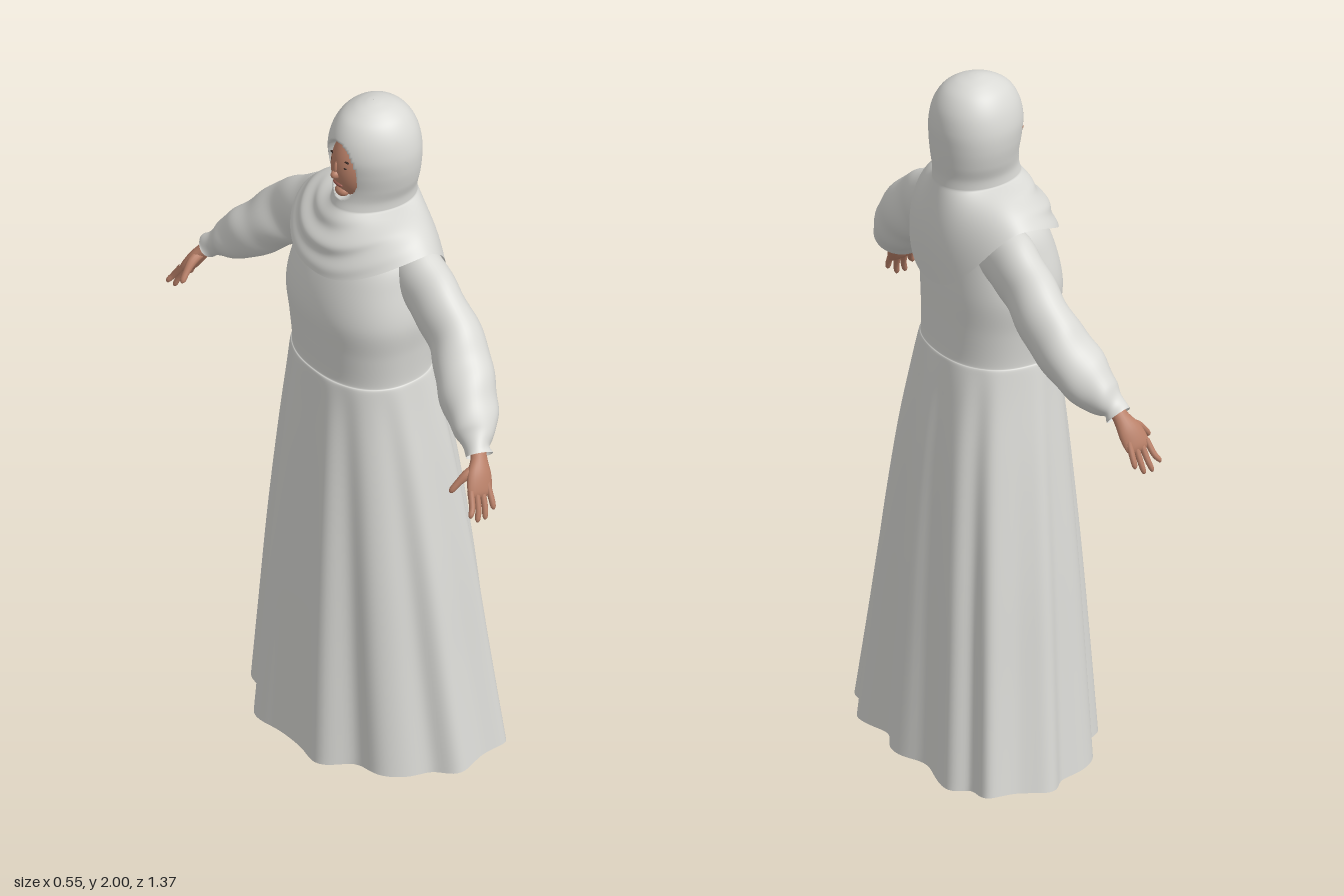
import * as THREE from 'three';

const mat = (name, color, side = THREE.FrontSide) => {
  const m = new THREE.MeshStandardMaterial({ color, side });
  m.name = name;
  return m;
};

// Smoothly interpolates a table of rows, t from 0 to 1
function sample(rows, t) {
  const f = t * (rows.length - 1), i = Math.min(Math.floor(f), rows.length - 2), u = f - i;
  const row = (k) => rows[THREE.MathUtils.clamp(k, 0, rows.length - 1)];
  const [a, b, c, d] = [row(i - 1), row(i), row(i + 1), row(i + 2)];
  return b.map((_, k) => {
    const m0 = (c[k] - a[k]) / 2, m1 = (d[k] - b[k]) / 2;
    return b[k] + m0 * u + (3 * (c[k] - b[k]) - 2 * m0 - m1) * u * u + (2 * (b[k] - c[k]) + m0 + m1) * u ** 3;
  });
}

// Closed rings stacked along t; point(a, t) returns [x, y, z]
function loft(nu, nv, point) {
  const pos = [], index = [];
  for (let j = 0; j <= nv; j++)
    for (let i = 0; i < nu; i++) pos.push(...point((i / nu) * Math.PI * 2, j / nv));
  for (let j = 0; j < nv; j++)
    for (let i = 0; i < nu; i++) {
      const p = j * nu + i, q = j * nu + ((i + 1) % nu);
      index.push(p, p + nu, q, q, p + nu, q + nu);
    }
  const g = new THREE.BufferGeometry();
  g.setAttribute('position', new THREE.Float32BufferAttribute(pos, 3));
  g.setIndex(index);
  g.computeVertexNormals();
  return g;
}

// Limb along rows [x, y, z, radius along ref, radius across]
function limb(rows, side, ref, nu, nv, ripple = () => 1) {
  const at = (t) => {
    const r = sample(rows, t);
    return new THREE.Vector3(r[0], r[1], r[2] * side);
  };
  return loft(nu, nv, (a, t) => {
    const r = sample(rows, t), e = 0.01;
    const T = at(Math.min(1, t + e)).sub(at(Math.max(0, t - e))).normalize();
    const X = ref.clone().addScaledVector(T, -ref.dot(T)).normalize();
    const N = X.clone().cross(T), k = ripple(a, t);
    return at(t).addScaledVector(X, Math.cos(a) * Math.max(r[3], 0.0005) * k)
      .addScaledVector(N, Math.sin(a) * Math.max(r[4], 0.0005) * k).toArray();
  });
}

const pw = (v, p) => Math.sign(v) * Math.abs(v) ** p;

// Gown rows: y, front x, back x, half width
const GOWN = [
  [0.015, -0.263, 0.263, 0.39], [0.3, -0.247, 0.247, 0.35], [0.6, -0.228, 0.23, 0.31],
  [0.9, -0.205, 0.205, 0.263], [1.1, -0.187, 0.178, 0.228], [1.19, -0.179, 0.163, 0.213],
  [1.21, -0.173, 0.157, 0.208], [1.3, -0.179, 0.155, 0.215], [1.4, -0.185, 0.155, 0.226],
  [1.5, -0.165, 0.15, 0.21], [1.58, -0.13, 0.142, 0.185], [1.64, -0.07, 0.12, 0.12], [1.67, -0.03, 0.1, 0.06],
];

function gownPoint(a, t) {
  const [y, xf, xb, zh] = sample(GOWN, t);
  const low = Math.max(0, (1.2 - y) / 1.2);
  const fold = (0.018 * Math.cos(11 * a) + 0.004 * Math.cos(18 * a)) * low ** 0.7;
  const c = Math.cos(a), s = Math.sin(a);
  const x = (xf + xb) / 2 + ((xb - xf) / 2) * pw(c, 0.88) + 0.08 * low * s * s + fold * c;
  return [x, y + 0.006 * Math.cos(5 * a) * low ** 4, zh * pw(s, 0.88) + fold * s * 0.7];
}

// Headscarf rows from neck to crown: y, front x, back x, half width
const SCARF = [
  [1.7, -0.098, 0.153, 0.1], [1.73, -0.09, 0.152, 0.102], [1.77, -0.088, 0.155, 0.114],
  [1.82, -0.095, 0.158, 0.123], [1.87, -0.1, 0.158, 0.123], [1.92, -0.09, 0.148, 0.11],
  [1.96, -0.066, 0.125, 0.086], [1.985, -0.03, 0.092, 0.054], [1.997, 0.005, 0.055, 0.023], [2, 0.029, 0.031, 0.001],
];

function scarfPoint(a, t) {
  const c = Math.cos(a), s = Math.sin(a), cut = 0.35;
  const ring = ([y, xf, xb, zh]) => [(xf + xb) / 2 + ((xb - xf) / 2) * c, y, zh * s * (1 + 0.1 * c)];
  if (t < cut) {
    // Cape: long at the back, short over the shoulders
    const u = 1 - t / cut, neck = ring(SCARF[0]);
    const hem = [0.18 * c + 0.02 * s * s,
      c > 0 ? 1.42 + 0.205 * Math.abs(s) ** 2.2 : 1.53 + 0.095 * s * s, 0.242 * pw(s, 0.9)];
    const out = 0.012 * Math.sin(Math.PI * u);
    const wrap = c < 0 ? 0.006 * Math.sin(u * 15 + 2 * s) * -c * Math.sin(Math.PI * u) : 0;
    return [neck[0] + (hem[0] - neck[0]) * u + (wrap + out) * c,
      neck[1] + (hem[1] - neck[1]) * u + out * s * s, neck[2] + (hem[2] - neck[2]) * u + (wrap + out) * s];
  }
  const p = ring(sample(SCARF, (t - cut) / (1 - cut)));
  // Face opening, sunk behind the face
  const d = (p[2] / 0.06) ** 2 + ((p[1] - 1.82) / 0.092) ** 2;
  if (c < 0 && d < 1) p[0] += 0.06 * Math.min(1, (1 - d) * 3);
  return p;
}

export function createModel() {
  const model = new THREE.Group();
  model.name = 'robedWoman';
  const cloth = mat('light grey cloth', 0xd9d9d5, THREE.DoubleSide);
  const skin = mat('skin', 0xb98068);
  const dark = mat('dark brown', 0x3b2a24);
  const lip = mat('lip', 0x9c5b50);
  const add = (name, geo, material, parent = model) => {
    const m = new THREE.Mesh(geo, material);
    m.name = name;
    parent.add(m);
    return m;
  };
  const ball = (name, material, p, r, parent) => {
    const m = add(name, new THREE.SphereGeometry(1, 28, 20), material, parent);
    m.position.set(...p);
    m.scale.set(...r);
    return m;
  };

  add('gown', loft(176, 90, gownPoint), cloth);
  add('headscarf', loft(120, 110, scarfPoint), cloth);

  // Face, looking along -x
  const face = new THREE.Group();
  face.name = 'face';
  model.add(face);
  ball('faceSkin', skin, [-0.03, 1.82, 0], [0.07, 0.1, 0.065], face);
  ball('nose', skin, [-0.097, 1.808, 0], [0.016, 0.013, 0.012], face);
  ball('noseBridge', skin, [-0.094, 1.826, 0], [0.01, 0.025, 0.007], face);
  ball('chin', skin, [-0.076, 1.748, 0], [0.018, 0.016, 0.022], face);
  ball('lips', lip, [-0.09, 1.776, 0], [0.008, 0.007, 0.02], face);
  for (const s of [1, -1]) {
    ball('eye', dark, [-0.087, 1.839, s * 0.025], [0.005, 0.004, 0.01], face);
    ball('eyebrow', dark, [-0.084, 1.858, s * 0.027], [0.004, 0.003, 0.014], face);
  }

  const X = new THREE.Vector3(1, 0, 0), Z = new THREE.Vector3(0, 0, 1);
  for (const s of [1, -1]) {
    // Sleeve gathered into a cuff
    add('sleeve', limb([
      [0.04, 1.54, 0.13, 0.07, 0.09], [0.038, 1.525, 0.2, 0.07, 0.097], [0.033, 1.485, 0.28, 0.068, 0.092],
      [0.03, 1.425, 0.365, 0.072, 0.088], [0.008, 1.36, 0.435, 0.08, 0.08], [-0.02, 1.3, 0.5, 0.077, 0.072],
      [-0.045, 1.255, 0.555, 0.058, 0.054], [-0.063, 1.232, 0.588, 0.036, 0.034], [-0.07, 1.215, 0.606, 0.038, 0.034],
    ], s, X, 40, 60, (a, t) => 1 + 0.035 * t * Math.sin(a * 3 + t * 22) + 0.02 * Math.sin(t * 40 + a)), cloth);

    // Hand with spread fingers
    const hand = new THREE.Group();
    hand.name = 'hand';
    model.add(hand);
    add('palm', limb([
      [-0.062, 1.245, 0.585, 0.022, 0.019], [-0.073, 1.21, 0.61, 0.024, 0.018], [-0.088, 1.175, 0.632, 0.036, 0.018],
      [-0.1, 1.14, 0.65, 0.038, 0.014], [-0.104, 1.125, 0.657, 0.03, 0.008], [-0.105, 1.12, 0.659, 0.001, 0.001],
    ], s, X, 20, 24), skin, hand);
    const tips = [[-0.152, 1.085], [-0.129, 1.063], [-0.104, 1.062], [-0.077, 1.083]];
    tips.forEach(([x, y], i) => {
      const bx = -0.129 + i * 0.018, by = 1.135 + (i === 3 ? 0.006 : 0);
      add('finger', limb([
        [bx, by + 0.012, 0.648, 0.009, 0.01], [(bx + x) / 2, (by + y) / 2, 0.671, 0.0085, 0.0085],
        [x, y + 0.008, 0.68, 0.007, 0.007], [x, y, 0.681, 0.001, 0.001],
      ], s, X, 10, 12), skin, hand);
    });
    add('thumb', limb([
      [-0.075, 1.195, 0.62, 0.014, 0.014], [-0.115, 1.18, 0.617, 0.014, 0.014], [-0.142, 1.158, 0.61, 0.01, 0.01],
      [-0.16, 1.137, 0.604, 0.008, 0.008], [-0.163, 1.13, 0.602, 0.001, 0.001],
    ], s, Z, 12, 14), skin, hand);

    // Leg and bare foot under the gown
    add('leg', limb([
      [0.04, 0.85, 0.085, 0.075, 0.075], [0.045, 0.5, 0.09, 0.055, 0.052], [0.065, 0.35, 0.095, 0.056, 0.05],
      [0.07, 0.15, 0.1, 0.034, 0.03], [0.07, 0.05, 0.1, 0.036, 0.03],
    ], s, X, 24, 30), skin);
    add('foot', limb([
      [0.118, 0.034, 0.097, 0.001, 0.001], [0.108, 0.035, 0.098, 0.022, 0.03], [0.07, 0.044, 0.1, 0.032, 0.044],
      [0.0, 0.034, 0.108, 0.034, 0.034], [-0.07, 0.021, 0.117, 0.043, 0.021], [-0.115, 0.014, 0.121, 0.036, 0.014],
      [-0.135, 0.011, 0.122, 0.001, 0.001],
    ], s, Z, 24, 30), skin);
  }
  return model;
}
